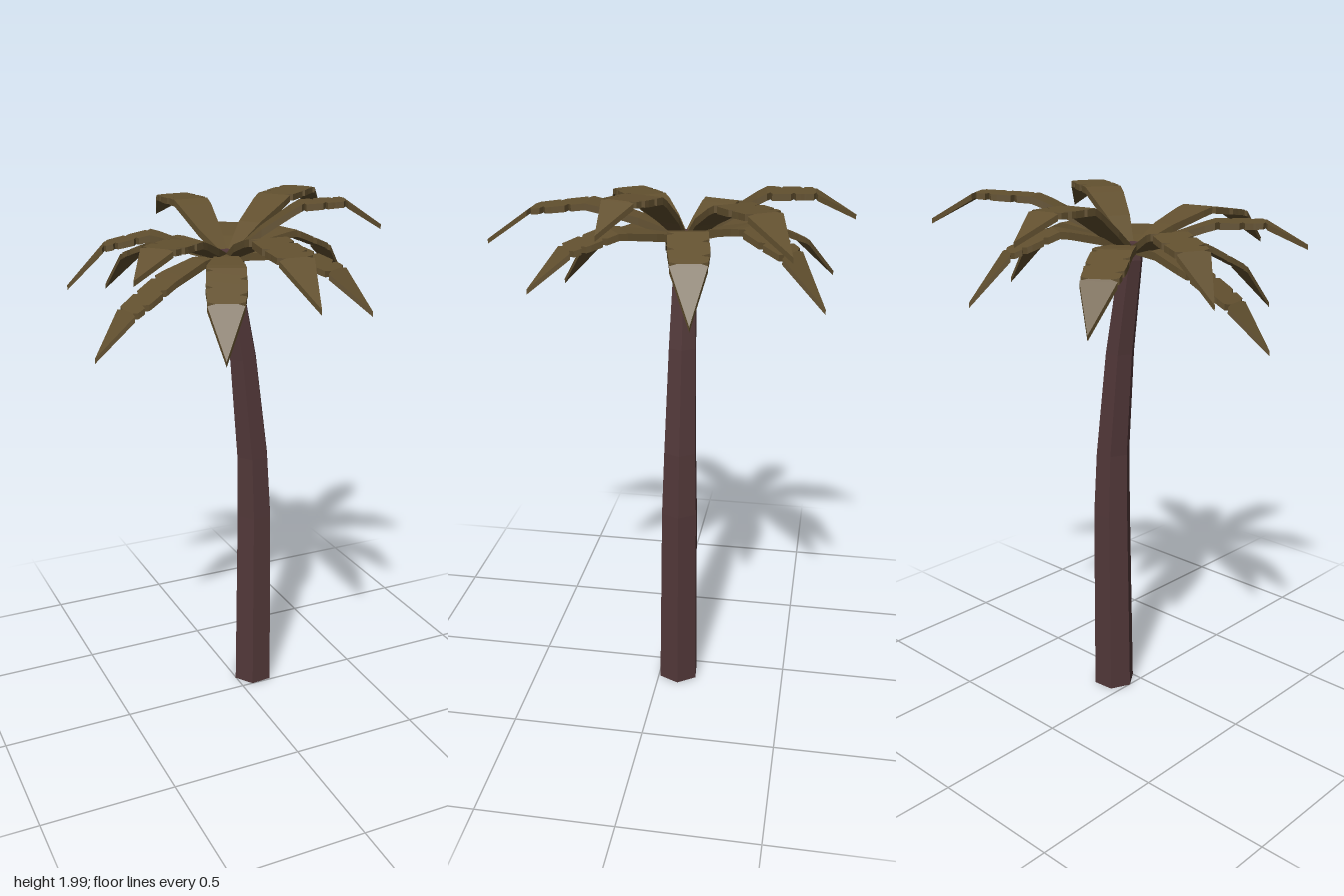
import * as THREE from 'three';

const trunkMaterial = new THREE.MeshStandardMaterial({ color: 0x523839 });
trunkMaterial.name = 'dark brown bark';
trunkMaterial.flatShading = true;
const leafMaterial = new THREE.MeshStandardMaterial({ color: 0x62502f });
leafMaterial.name = 'olive brown leaf';
leafMaterial.flatShading = true;

const CROWN = { x: -0.03, y: 1.8, z: -0.075 };

// Collects quads into a flat-shaded geometry
function quadMesh(name, quads, material) {
  const positions = [];
  for (const [a, b, c, d] of quads) positions.push(...a, ...b, ...c, ...a, ...c, ...d);
  const geometry = new THREE.BufferGeometry();
  geometry.setAttribute('position', new THREE.Float32BufferAttribute(positions, 3));
  geometry.computeVertexNormals();
  const mesh = new THREE.Mesh(geometry, material);
  mesh.name = name;
  return mesh;
}

// Leaning six-sided trunk: rings of [centre x, y, radius]
function makeTrunk() {
  const rings = [
    [0.08, 0, 0.083], [0.083, 0.75, 0.075], [0.075, 1.0, 0.067],
    [0.035, 1.4, 0.056], [-0.022, 1.75, 0.045], [-0.03, 1.81, 0.03],
  ].map(([cx, y, r]) => Array.from({ length: 6 }, (_, i) => {
    const a = (i * 60 - 5) * Math.PI / 180;
    return [cx + r * Math.cos(a), y, CROWN.z + r * Math.sin(a)];
  }));
  const quads = [];
  for (let k = 0; k + 1 < rings.length; k++) {
    for (let i = 0; i < 6; i++) {
      const j = (i + 1) % 6;
      quads.push([rings[k][i], rings[k + 1][i], rings[k + 1][j], rings[k][j]]);
    }
  }
  // End caps, two quads each
  const b = rings[0], t = rings[rings.length - 1];
  quads.push([b[0], b[1], b[2], b[3]], [b[0], b[3], b[4], b[5]]);
  quads.push([t[3], t[2], t[1], t[0]], [t[5], t[4], t[3], t[0]]);
  return quadMesh('trunk', quads, trunkMaterial);
}

// Frond outline: [distance along, left half width, right half width], with V notches
const OUTLINE = [
  [0, 0.012, 0.012], [0.2, 0.045, 0.045], [0.4, 0.066, 0.068],
  [0.46, 0.07, 0.07], [0.48, 0.07, 0.044], [0.49, 0.07, 0.07],
  [0.53, 0.07, 0.07], [0.55, 0.044, 0.07], [0.56, 0.072, 0.07],
  [0.6, 0.072, 0.07], [0.62, 0.072, 0.045], [0.63, 0.072, 0.07],
  [0.66, 0.07, 0.068], [0.68, 0.042, 0.066], [0.69, 0.068, 0.066],
  [0.735, 0.064, 0.064], [0.75, 0.038, 0.036], [0.76, 0.062, 0.064], [1, 0, 0],
];

// Heights run straight between the bends at 0.2, 0.45, 0.75 and the tip
function heightAt(t, bends) {
  for (let i = 1; i < bends.length; i++) {
    const [t0, y0] = bends[i - 1], [t1, y1] = bends[i];
    if (t <= t1) return y0 + (y1 - y0) * (t - t0) / (t1 - t0);
  }
  return bends[bends.length - 1][1];
}

// Thick notched frond bending outwards from the crown
function makeFrond([tipX, tipZ, y1, y2, y3, tipY]) {
  const dx = tipX - CROWN.x, dz = tipZ - CROWN.z;
  const length = Math.hypot(dx, dz);
  const sx = dz / length, sz = -dx / length;
  const bends = [[0, CROWN.y], [0.2, y1], [0.45, y2], [0.75, y3], [1, tipY]];
  const rows = OUTLINE.map(([t, left, right]) => {
    const at = 0.025 + 0.975 * t;
    const y = heightAt(t, bends), thick = 0.03 - 0.012 * t;
    const point = (w, drop) => [CROWN.x + dx * at + sx * w, y - drop, CROWN.z + dz * at + sz * w];
    return { l: point(left, 0), r: point(-right, 0), lb: point(left, thick), rb: point(-right, thick) };
  });
  const quads = [];
  for (let i = 0; i + 1 < rows.length; i++) {
    const a = rows[i], b = rows[i + 1];
    quads.push([a.r, b.r, b.l, a.l], [a.lb, b.lb, b.rb, a.rb]);
    quads.push([a.l, b.l, b.lb, a.lb], [a.rb, b.rb, b.r, a.r]);
  }
  const first = rows[0];
  quads.push([first.r, first.l, first.lb, first.rb]);
  return quadMesh('frond', quads, leafMaterial);
}

export function createModel() {
  const model = new THREE.Group();
  model.name = 'palmTree';
  model.add(makeTrunk());

  // Each frond: tip x, tip z, heights at the three bends, tip height
  const fronds = [
    [-0.08, -0.67, 1.87, 1.96, 1.96, 1.88],
    [0.26, -0.59, 1.84, 1.87, 1.8, 1.63],
    [0.575, -0.49, 1.89, 1.97, 1.98, 1.88],
    [0.525, -0.17, 1.84, 1.87, 1.8, 1.63],
    [0.485, 0.14, 1.89, 1.98, 1.99, 1.9],
    [0.29, 0.43, 1.82, 1.84, 1.79, 1.66],
    [-0.04, 0.67, 1.86, 1.91, 1.88, 1.75],
    [-0.26, 0.44, 1.81, 1.8, 1.71, 1.55],
    [-0.52, 0.3, 1.84, 1.89, 1.89, 1.81],
    [-0.575, 0.02, 1.79, 1.74, 1.64, 1.49],
    [-0.575, -0.28, 1.83, 1.88, 1.84, 1.69],
    [-0.33, -0.6, 1.82, 1.83, 1.76, 1.61],
  ];
  const crown = new THREE.Group();
  crown.name = 'crown';
  for (const frond of fronds) crown.add(makeFrond(frond));
  model.add(crown);
  return model;
}
